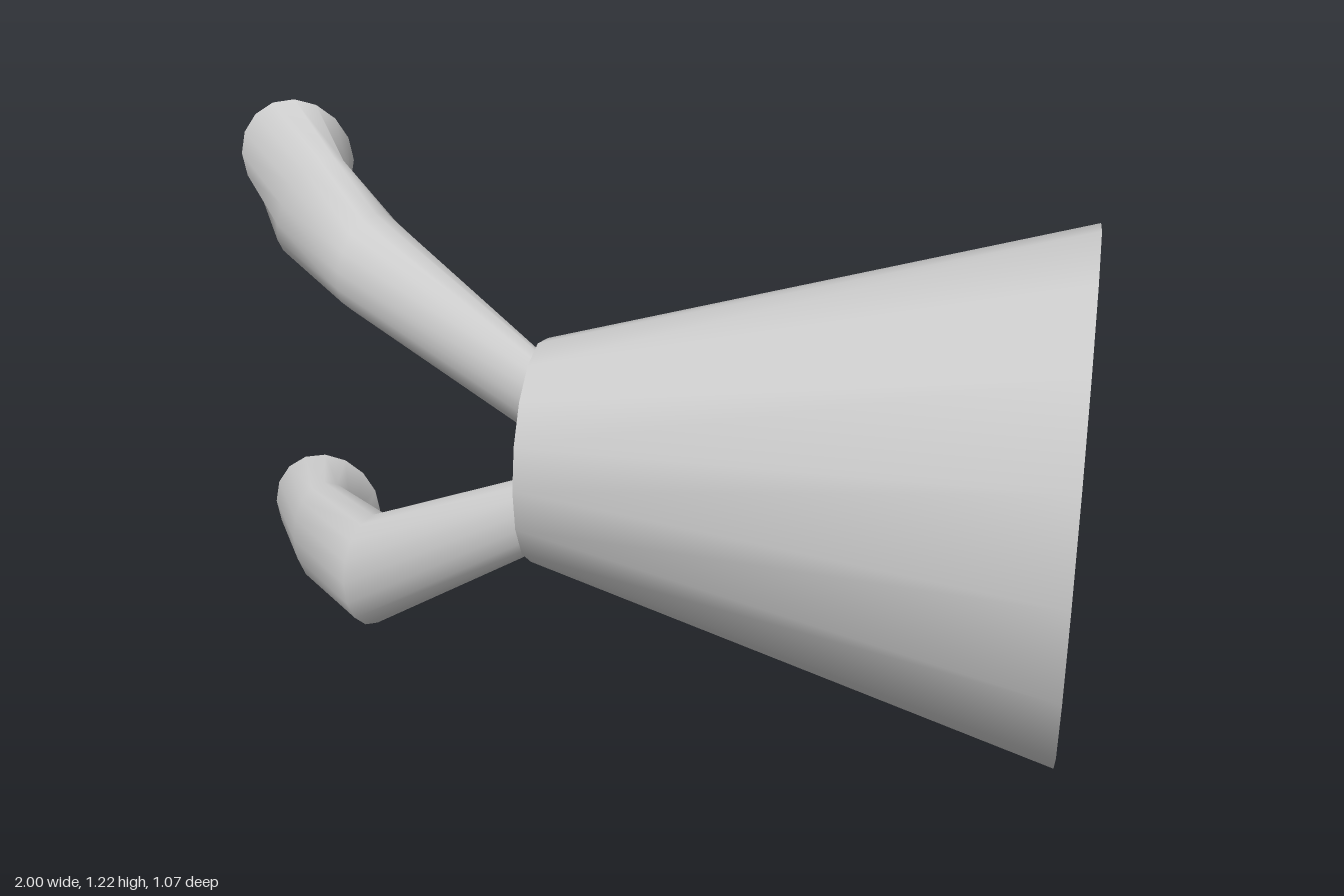
import * as THREE from 'three';

const SIDES = 16;
const material = new THREE.MeshStandardMaterial({ color: 0xcccccc });

// Skin elliptical rings (centre c, half-axes u and v) into a tube with a flat end cap.
function tubeFromRings(rings) {
  const pos = [], idx = [];
  const addRing = ({ c, u, v }) => {
    for (let i = 0; i < SIDES; i++) {
      const a = (i / SIDES) * Math.PI * 2, cos = Math.cos(a), sin = Math.sin(a);
      for (let k = 0; k < 3; k++) pos.push(c[k] + u[k] * cos + v[k] * sin);
    }
  };
  rings.forEach(addRing);
  for (let r = 0; r < rings.length - 1; r++) {
    for (let i = 0; i < SIDES; i++) {
      const j = (i + 1) % SIDES, a = r * SIDES, b = a + SIDES;
      idx.push(a + i, a + j, b + i, a + j, b + j, b + i);
    }
  }
  // the cap has its own vertices so its edge stays sharp
  const last = rings[rings.length - 1], start = pos.length / 3;
  addRing(last);
  pos.push(...last.c);
  for (let i = 0; i < SIDES; i++) idx.push(start + SIDES, start + i, start + (i + 1) % SIDES);

  const geometry = new THREE.BufferGeometry();
  geometry.setAttribute('position', new THREE.Float32BufferAttribute(pos, 3));
  geometry.setIndex(idx);
  geometry.computeVertexNormals();
  return geometry;
}

export function createModel() {
  const model = new THREE.Group();
  const add = (name, geometry) => {
    const mesh = new THREE.Mesh(geometry, material);
    mesh.name = name;
    model.add(mesh);
  };

  // tapered body lying along x; doubled points keep edges sharp,
  // and the wide end is very slightly dished inside a flat rim
  const profile = [
    [0, -0.58], [0.25, -0.58], [0.25, -0.58], [0.58, 0.58], [0.58, 0.58],
    [0.52, 0.58], [0.52, 0.58], [0, 0.57],
  ].map(([r, h]) => new THREE.Vector2(r, h));
  const body = new THREE.LatheGeometry(profile, SIDES);
  body.rotateZ(-Math.PI / 2);
  body.scale(1, 1, 0.92);
  body.translate(0.42, 0.58, 0);
  add('body', body);

  // upper branch: rises outward, then bends to the back
  add('upperBranch', tubeFromRings([
    { c: [-0.155, 0.695, -0.023], u: [0, 0, 0.068], v: [0, 0.095, 0] },
    { c: [-0.585, 0.938, -0.145], u: [-0.045, 0, 0.085], v: [0.02, 0.113, 0] },
    { c: [-0.768, 1.012, -0.298], u: [-0.06, 0.01, 0.042], v: [0.05, 0.118, -0.01] },
    { c: [-0.86, 1.08, -0.457], u: [-0.14, 0, 0], v: [0, 0.138, 0] },
  ]));

  // lower branch: drops outward, then bends to the back
  add('lowerBranch', tubeFromRings([
    { c: [-0.155, 0.425, -0.023], u: [0, 0, 0.068], v: [0, 0.09, 0] },
    { c: [-0.6, 0.178, -0.13], u: [-0.048, 0, 0.09], v: [0, 0.142, 0] },
    { c: [-0.778, 0.175, -0.295], u: [-0.07, 0, 0.045], v: [0, 0.14, 0] },
    { c: [-0.833, 0.175, -0.457], u: [-0.138, 0, 0], v: [0, 0.14, 0] },
  ]));

  return model;
}
